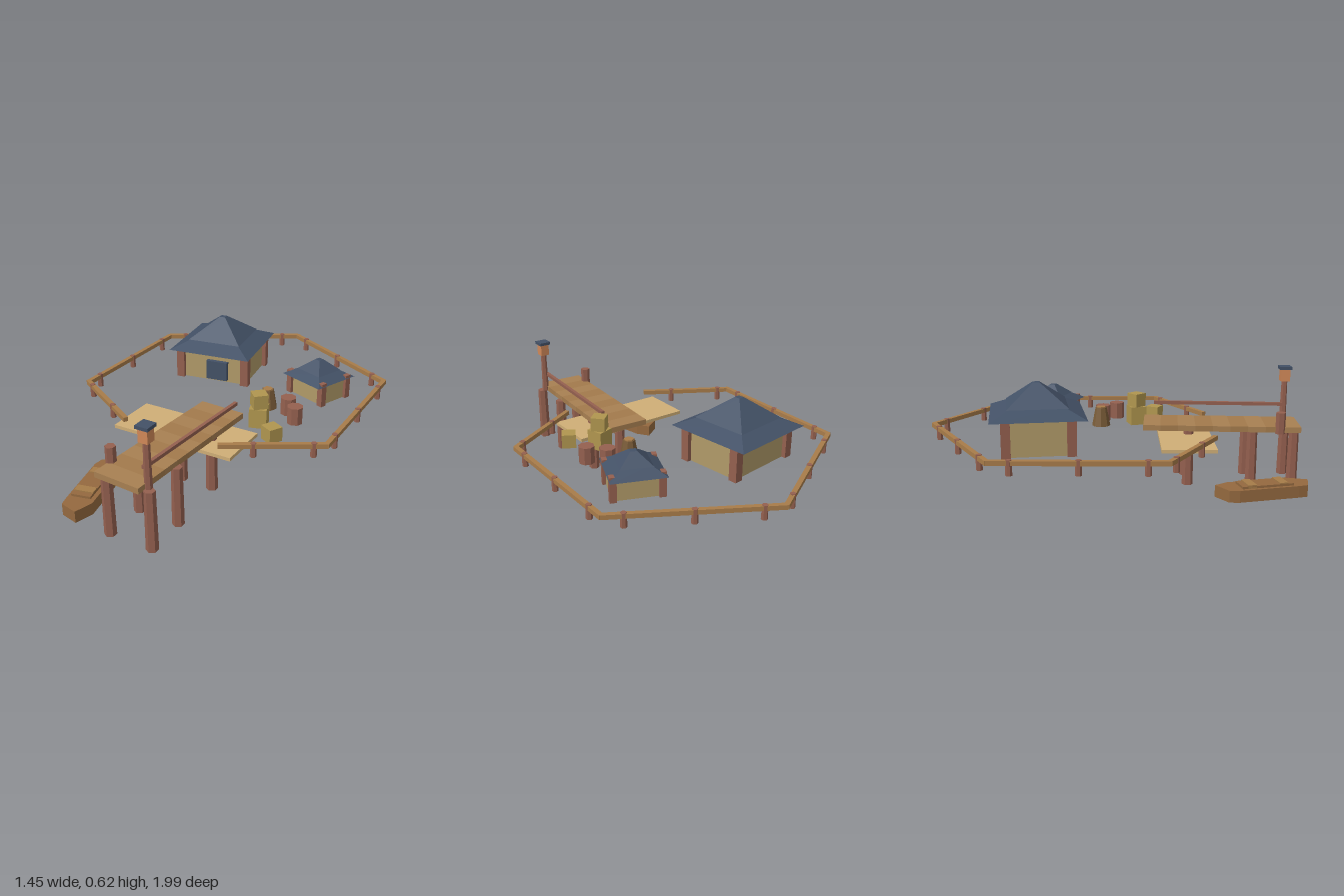
import * as THREE from 'three';

const mat = (color) => new THREE.MeshStandardMaterial({ color, flatShading: true });
const M = {
  rail: mat(0xa87c4a), post: mat(0x94604f), roof: mat(0x435166), wall: mat(0xb09a68),
  deck: mat(0xcfae76), plankA: mat(0xa88052), plankB: mat(0xa27a4c), lamp: mat(0xd08858),
  crate: mat(0xb0964f), stump: mat(0x7a5c38), dark: mat(0x4a3826), boat: mat(0x94693f), seat: mat(0xa67c48),
};
const GROUND = 0.27;

function add(parent, name, geo, material, x = 0, y = 0, z = 0, ry = 0) {
  const m = new THREE.Mesh(geo, material);
  m.name = name;
  m.position.set(x, y, z);
  m.rotation.y = ry;
  parent.add(m);
  return m;
}
// Box and round post given by their bottom and top heights
const box = (p, name, material, w, d, y0, y1, x, z, ry = 0) =>
  add(p, name, new THREE.BoxGeometry(w, y1 - y0, d), material, x, (y0 + y1) / 2, z, ry);
const post = (p, name, material, r0, r1, y0, y1, x, z, sides = 6) =>
  add(p, name, new THREE.CylinderGeometry(r1, r0, y1 - y0, sides), material, x, (y0 + y1) / 2, z);
// Square roof tier given by half widths
const tier = (p, name, h0, h1, y0, y1) =>
  add(p, name, new THREE.CylinderGeometry(h1 * Math.SQRT2, h0 * Math.SQRT2, y1 - y0, 4), M.roof, 0, (y0 + y1) / 2, 0, Math.PI / 4);

function group(parent, name, x = 0, z = 0, ry = 0) {
  const g = new THREE.Group();
  g.name = name;
  g.position.set(x, 0, z);
  g.rotation.y = ry;
  parent.add(g);
  return g;
}

// Hut: walls, corner posts and a two-tier roof
function hut(parent, name, o) {
  const g = group(parent, name, o.x, o.z, o.ry);
  box(g, 'walls', M.wall, o.hx * 2, o.hz * 2, GROUND, o.eave + 0.01, 0, 0);
  for (const sx of [-1, 1]) for (const sz of [-1, 1])
    box(g, 'cornerPost', M.post, o.post, o.post, GROUND, o.postTop, sx * o.hx, sz * o.hz);
  tier(g, 'lowerRoof', o.r0, o.r1 * 0.85, o.eave, o.mid + 0.005);
  tier(g, 'upperRoof', o.r1, 0.016, o.mid, o.top);
  return g;
}

export function createModel() {
  const root = new THREE.Group();
  root.name = 'dockVillage';

  // Hexagonal fence, open at the front
  const fence = group(root, 'fence');
  const ring = [[-0.27, 0.49], [-0.71, 0.235], [-0.71, -0.585], [0, -0.99], [0.71, -0.585], [0.71, 0.235], [0.27, 0.49]];
  for (let i = 0; i < 6; i++) {
    const [ax, az] = ring[i], [bx, bz] = ring[i + 1];
    const len = Math.hypot(bx - ax, bz - az);
    box(fence, 'fenceRail', M.rail, 0.024, len + 0.01, 0.318, 0.341, (ax + bx) / 2, (az + bz) / 2, Math.atan2(bx - ax, bz - az));
    const stops = i === 0 ? [0.32, 0.88] : i === 5 ? [0.12, 0.68] : [0.12, 0.5, 0.88];
    for (const t of stops)
      post(fence, 'fencePost', M.post, 0.016, 0.015, GROUND, 0.344, ax + (bx - ax) * t, az + (bz - az) * t);
  }

  // Huts
  const main = hut(root, 'mainHut', {
    x: -0.218, z: -0.41, ry: 0.145, hx: 0.195, hz: 0.16, post: 0.046,
    postTop: 0.455, eave: 0.45, mid: 0.495, top: 0.605, r0: 0.237, r1: 0.153,
  });
  box(main, 'door', M.roof, 0.125, 0.03, 0.285, 0.395, 0.03, 0.17);
  hut(root, 'smallHut', {
    x: 0.402, z: -0.38, ry: -0.377, hx: 0.118, hz: 0.092, post: 0.034,
    postTop: 0.402, eave: 0.385, mid: 0.42, top: 0.477, r0: 0.138, r1: 0.082,
  });

  // Landing platform
  box(root, 'landing', M.deck, 0.67, 0.28, 0.266, 0.284, 0, 0.358);

  // Dock of alternating planks
  const dock = group(root, 'dock', 0.066, 0.56, -0.064);
  const n = 9, step = 0.835 / n;
  for (let i = 0; i < n; i++)
    box(dock, 'plank', i % 2 ? M.plankB : M.plankA, 0.25, step, 0.306, 0.336, 0, (i + 0.5 - n / 2) * step);
  box(dock, 'handrail', M.post, 0.018, 0.73, 0.402, 0.42, 0.115, 0.0);

  // Piles under the dock and the mooring post
  const piles = [[0.19, 0.94], [0.185, 0.72], [0.167, 0.38], [-0.042, 0.94], [-0.035, 0.72], [-0.012, 0.38]];
  for (const [x, z] of piles) post(root, 'pile', M.post, 0.03, 0.027, 0, 0.31, x, z);
  post(root, 'mooringPost', M.post, 0.026, 0.026, 0.3, 0.415, -0.074, 0.86);

  // Lamp at the dock's end
  const lamp = group(root, 'lamp', 0.175, 0.925);
  post(lamp, 'lampPost', M.post, 0.019, 0.016, 0.31, 0.545, 0, 0);
  box(lamp, 'lantern', M.lamp, 0.05, 0.05, 0.54, 0.605, 0, 0);
  box(lamp, 'lanternCap', M.roof, 0.066, 0.066, 0.605, 0.621, 0, 0);

  // Boat: faceted hull, raised inner deck and two seats
  const boat = group(root, 'boat', -0.29, 0.746, 0.23);
  const outline = [[-0.056, -0.21], [0.045, -0.25], [0.075, -0.175], [0.072, 0.165], [0.025, 0.252], [-0.062, 0.21], [-0.066, 0.16], [-0.07, -0.16]];
  const shape = new THREE.Shape(outline.map(([x, z]) => new THREE.Vector2(x, -z)));
  const hull = new THREE.ExtrudeGeometry(shape, { depth: 0.062, bevelEnabled: false }).rotateX(-Math.PI / 2);
  add(boat, 'hull', hull, M.boat, 0, 0.028, 0);
  box(boat, 'innerDeck', M.boat, 0.1, 0.275, 0.08, 0.102, 0, 0);
  for (const z of [-0.085, 0.085]) box(boat, 'seat', M.seat, 0.1, 0.045, 0.09, 0.108, 0, z);

  // Crates, barrels and a tapered tub
  const cargo = group(root, 'cargo');
  box(cargo, 'lowerCrate', M.crate, 0.09, 0.09, GROUND, 0.373, 0.286, 0.107, 0.3);
  box(cargo, 'upperCrate', M.crate, 0.075, 0.075, 0.373, 0.447, 0.286, 0.107, 0.75);
  box(cargo, 'smallCrate', M.crate, 0.075, 0.075, GROUND, 0.345, 0.413, 0.217, -0.5);
  for (const [x, z] of [[0.36, -0.085], [0.435, -0.005]])
    post(cargo, 'barrel', M.post, 0.042, 0.042, GROUND, 0.362, x, z, 8);
  post(cargo, 'tub', M.stump, 0.052, 0.032, GROUND, 0.375, 0.235, -0.095, 8);
  post(cargo, 'tubLid', M.rail, 0.026, 0.026, 0.37, 0.38, 0.235, -0.095, 8);

  return root;
}
